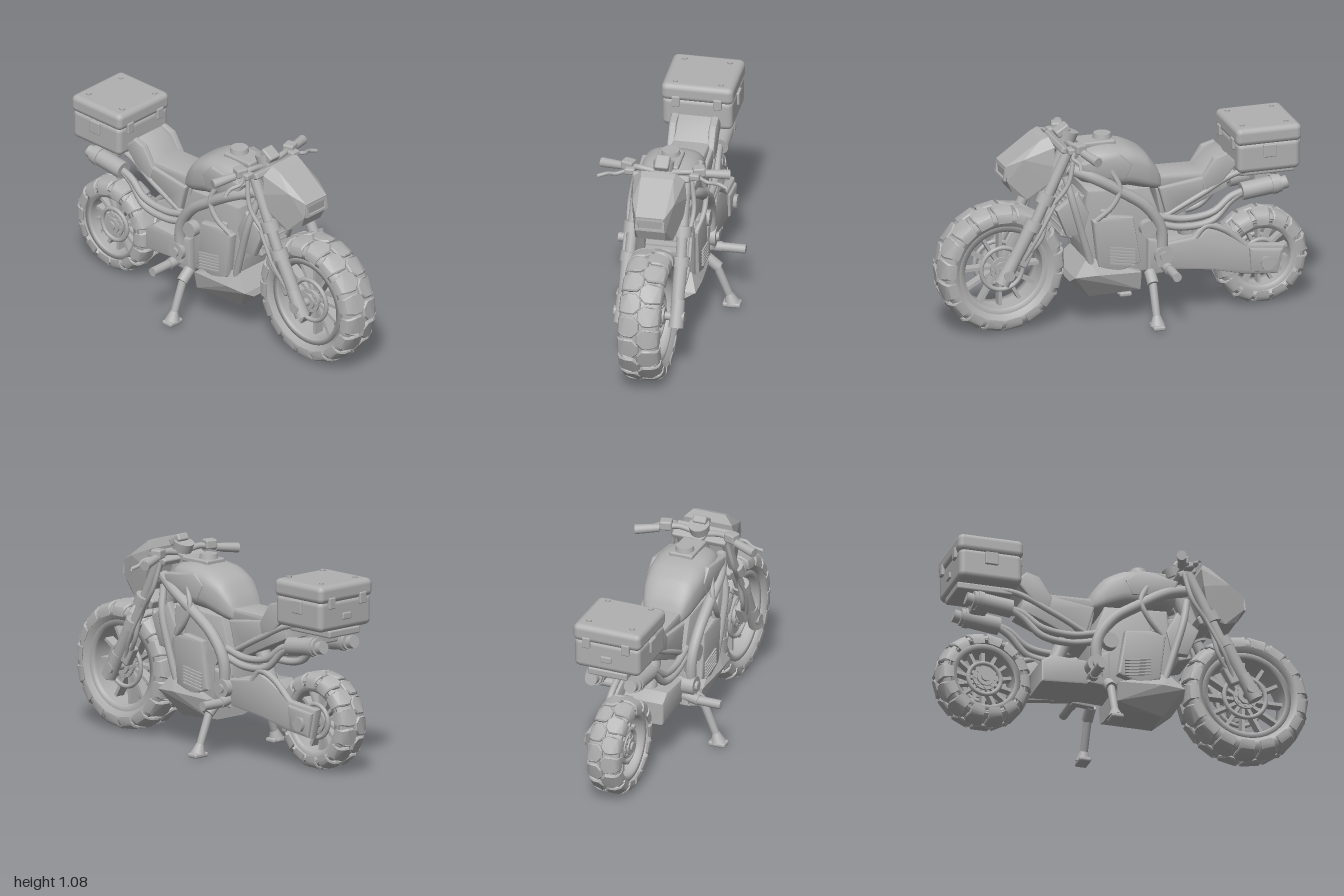
import * as THREE from 'three';
import { toCreasedNormals } from 'three/addons/utils/BufferGeometryUtils.js';
import { RoundedBoxGeometry } from 'three/addons/geometries/RoundedBoxGeometry.js';
import { ConvexGeometry } from 'three/addons/geometries/ConvexGeometry.js';

const V = (p) => new THREE.Vector3(...p);

export function createModel() {
  const root = new THREE.Group();
  root.name = 'motorcycle';
  const grey = new THREE.MeshStandardMaterial({ color: 0xb0b0b0, side: THREE.DoubleSide });
  grey.name = 'plain grey';

  const add = (name, geo, pos = [0, 0, 0], rot = [0, 0, 0], parent = root) => {
    const m = new THREE.Mesh(geo, grey);
    m.name = name;
    m.position.set(...pos);
    m.rotation.set(...rot);
    parent.add(m);
    return m;
  };
  const both = (fn) => [1, -1].forEach(fn);
  const box = (w, h, d, r = 0.01) => new RoundedBoxGeometry(w, h, d, 2, r);
  // Cylinder lying along x
  const disc = (r, len, n = 24) => new THREE.CylinderGeometry(r, r, len, n).rotateZ(Math.PI / 2);
  // Cylinder between two points
  const rod = (name, a, b, r0, r1 = r0, n = 16) => {
    const A = V(a), B = V(b), d = B.clone().sub(A);
    const m = add(name, new THREE.CylinderGeometry(r1, r0, d.length(), n));
    m.position.copy(A).add(B).multiplyScalar(0.5);
    m.quaternion.setFromUnitVectors(new THREE.Vector3(0, 1, 0), d.normalize());
    return m;
  };
  const tube = (name, pts, r) =>
    add(name, new THREE.TubeGeometry(new THREE.CatmullRomCurve3(pts.map(V)), 28, r, 10));
  // Bevelled plate with a [z, y] outline, spanning a width in x
  const plate = (name, pts, x, w, bevel = 0.012) => {
    const shape = new THREE.Shape(pts.map(([z, y]) => new THREE.Vector2(z, y)));
    const g = new THREE.ExtrudeGeometry(shape, { depth: w - 2 * bevel, bevelThickness: bevel,
      bevelSize: bevel, bevelOffset: -bevel, bevelSegments: 2 });
    g.translate(0, 0, -w / 2 + bevel).rotateY(-Math.PI / 2);
    return add(name, toCreasedNormals(g, 0.5), [x, 0, 0]);
  };
  // Rounded body lofted along z; sections are [z, bottom, top, half width]
  const loft = (name, secs, power = 0.65, n = 32) => {
    const pos = [], idx = [];
    const curve = new THREE.CatmullRomCurve3(secs.map((s) => V([s[1], s[2], s[3]])));
    const zs = new THREE.CatmullRomCurve3(secs.map((s) => V([s[0], 0, 0])));
    const rows = 24, f = (v) => Math.sign(v) * Math.abs(v) ** power;
    for (let i = 0; i <= rows; i++) {
      const c = curve.getPoint(i / rows), z = zs.getPoint(i / rows).x;
      for (let j = 0; j < n; j++) {
        const a = (j / n) * Math.PI * 2;
        pos.push(c.z * f(Math.cos(a)), (c.x + c.y) / 2 + ((c.y - c.x) / 2) * f(Math.sin(a)), z);
        const k = i * n + j, l = i * n + ((j + 1) % n);
        if (i < rows) idx.push(k, k + n, l, l, k + n, l + n);
      }
    }
    const g = new THREE.BufferGeometry();
    g.setAttribute('position', new THREE.Float32BufferAttribute(pos, 3));
    g.setIndex(idx);
    g.computeVertexNormals();
    return add(name, g);
  };
  const lathe = (pts) => new THREE.LatheGeometry(pts.map(([r, x]) => new THREE.Vector2(r, x)), 64).rotateZ(Math.PI / 2);

  // Wheel with staggered knobbly tread
  const wheel = (name, y, z, R, W, ri, blocks, spokes) => {
    const g = new THREE.Group();
    g.name = name;
    g.position.set(0, y, z);
    root.add(g);
    const b = R - 0.018;
    add('tyre', lathe([[ri, -W * 0.72], [ri + 0.03, -W * 0.92], [b - 0.035, -W * 0.97], [b - 0.006, -W * 0.8], [b, -W * 0.3],
      [b, W * 0.3], [b - 0.006, W * 0.8], [b - 0.035, W * 0.97], [ri + 0.03, W * 0.92], [ri, W * 0.72], [ri, -W * 0.72]]), undefined, undefined, g);
    const step = (Math.PI * 2) / blocks, h = (step * R) / 2 - 0.006;
    const outline = [[-0.06, -h * 0.45], [0.22, -h], [0.6, -h], [0.85, -h * 0.9], [1, -h * 0.8],
      [1, h * 0.8], [0.85, h * 0.9], [0.6, h], [0.22, h], [-0.06, h * 0.45]];
    const block = new THREE.ExtrudeGeometry(new THREE.Shape(outline.map(([u, s]) => new THREE.Vector2(u * W, s))),
      { depth: 0.03, bevelThickness: 0.007, bevelSize: 0.007, bevelOffset: -0.007, bevelSegments: 1 });
    const p = block.attributes.position;
    for (let i = 0; i < p.count; i++) {
      const u = p.getX(i), k = Math.max(0, u / W - 0.35) / 0.65;
      const r = R - 0.037 + p.getZ(i) - 0.036 * k ** 3, a = p.getY(i) / R;
      p.setXYZ(i, u, r * Math.cos(a), -r * Math.sin(a));
    }
    const tread = toCreasedNormals(block, 0.4);
    both((s) => {
      for (let i = 0; i < blocks; i++) {
        const m = add('treadBlock', tread, undefined, undefined, g);
        m.rotation.order = 'XYZ';
        m.rotation.set((i + (s > 0 ? 0 : 0.5)) * step, s > 0 ? 0 : Math.PI, 0);
      }
    });
    const q = ri - 0.025;
    add('rim', lathe([[ri + 0.006, -W * 0.75], [ri + 0.006, W * 0.75], [q, W * 0.75], [q + 0.008, W * 0.5],
      [q, 0], [q + 0.008, -W * 0.5], [q, -W * 0.75], [ri + 0.006, -W * 0.75]]), undefined, undefined, g);
    add('hub', disc(0.045, W * 1.5), undefined, undefined, g);
    both((s) => {
      add('brakeDisc', new THREE.TorusGeometry(ri * 0.48, 0.012, 8, 40).rotateY(Math.PI / 2), [s * W * 0.5, 0, 0], undefined, g);
      add('hubFlange', disc(0.065, 0.012), [s * W * 0.55, 0, 0], undefined, g);
      for (let i = 0; i < 8; i++) {
        const a = (i / 8) * Math.PI * 2;
        add('discBolt', disc(0.01, 0.02, 8), [s * W * 0.56, 0.05 * Math.cos(a), 0.05 * Math.sin(a)], undefined, g);
      }
    });
    for (let i = 0; i < spokes; i++) {
      const spoke = new THREE.BoxGeometry(W * 0.5, q - 0.02, 0.018).translate(0, (q + 0.02) / 2, 0);
      add('spoke', spoke, undefined, [(i / spokes) * Math.PI * 2, 0, 0], g);
    }
  };
  wheel('frontWheel', 0.34, 0.66, 0.34, 0.11, 0.235, 17, 12);
  wheel('rearWheel', 0.255, -0.745, 0.255, 0.092, 0.182, 14, 14);

  // Front forks, clamps, brakes and hoses
  rod('frontAxle', [-0.16, 0.34, 0.66], [0.16, 0.34, 0.66], 0.022);
  both((s) => {
    rod('forkTube', [s * 0.135, 0.55, 0.53], [s * 0.125, 0.98, 0.32], 0.028);
    rod('forkLeg', [s * 0.14, 0.31, 0.675], [s * 0.14, 0.6, 0.52], 0.032, 0.036);
    rod('forkFoot', [s * 0.145, 0.29, 0.69], [s * 0.145, 0.42, 0.62], 0.04, 0.034);
    rod('forkCollar', [s * 0.138, 0.565, 0.53], [s * 0.136, 0.61, 0.508], 0.046);
    rod('forkClamp', [s * 0.133, 0.7, 0.46], [s * 0.132, 0.75, 0.436], 0.047);
    add('axleCap', disc(0.03, 0.03, 8), [s * 0.17, 0.34, 0.66]);
    add('brakeCaliper', box(0.05, 0.11, 0.06), [s * 0.125, 0.42, 0.56], [-0.5, 0, 0]);
    tube('brakeHose', [[s * 0.13, 0.42, 0.55], [s * 0.16, 0.52, 0.48], [s * 0.155, 0.66, 0.44], [s * 0.17, 0.8, 0.34], [s * 0.15, 0.95, 0.3]], 0.012);
    tube('brakeLine', [[s * 0.14, 0.4, 0.57], [s * 0.17, 0.52, 0.51], [s * 0.17, 0.7, 0.41]], 0.01);
  });
  add('lowerYoke', box(0.27, 0.05, 0.1), [0, 0.725, 0.43], [-0.45, 0, 0]);
  add('upperYoke', box(0.3, 0.035, 0.1), [0, 0.965, 0.32], [-0.45, 0, 0]);
  rod('steeringStem', [0, 0.7, 0.4], [0, 0.98, 0.28], 0.04);

  // Headlight
  const head = [];
  both((s) => [[0.09, 1.045, 0.42], [0.135, 1.0, 0.4], [0.145, 0.9, 0.41], [0.135, 0.81, 0.43], [0.105, 0.73, 0.49],
    [0.1, 0.72, 0.54], [0.07, 0.755, 0.61], [0.08, 0.82, 0.64], [0.075, 0.9, 0.65], [0.11, 0.94, 0.56],
    [0.085, 1.03, 0.46]].forEach(([x, y, z]) => head.push(V([s * x, y, z]))));
  add('headlightShell', new ConvexGeometry(head));
  const trap = (P, a, b, h) => [[-a, -h], [a, -h], [b, h], [-b, h]].forEach(([x, y], i) => (i ? P.lineTo(x, y) : P.moveTo(x, y)));
  const bezel = new THREE.Shape(), hole = new THREE.Path();
  trap(bezel, 0.078, 0.073, 0.034);
  trap(hole, 0.06, 0.066, 0.022);
  bezel.holes.push(hole);
  add('headlightBezel', new THREE.ExtrudeGeometry(bezel, { depth: 0.012, bevelEnabled: false }), [0, 0.858, 0.643], [-0.1, 0, 0]);

  // Gauge and handlebars
  add('gauge', new THREE.CylinderGeometry(0.055, 0.05, 0.05, 24), [0, 1.015, 0.29], [-0.3, 0, 0]);
  add('gaugeTop', box(0.075, 0.04, 0.08), [0, 1.045, 0.32], [0.55, 0, 0]);
  both((s) => {
    tube('handlebar', [[s * 0.02, 0.98, 0.3], [s * 0.12, 0.995, 0.3], [s * 0.2, 0.985, 0.275], [s * 0.24, 0.98, 0.265]], 0.016);
    rod('grip', [s * 0.215, 0.98, 0.27], [s * 0.335, 0.965, 0.23], 0.021, 0.026);
    add('switchPod', box(0.065, 0.05, 0.06), [s * 0.185, 1.0, 0.285], [0, s * 0.3, 0]);
    add('fluidReservoir', box(0.055, 0.035, 0.05), [s * 0.17, 0.985, 0.32]);
    tube('lever', [[s * 0.19, 0.975, 0.31], [s * 0.24, 0.965, 0.335], [s * 0.29, 0.95, 0.315], [s * 0.34, 0.935, 0.325]], 0.01);
  });

  // Fuel tank and cap
  loft('fuelTank', [[0.28, 0.81, 0.88, 0.07], [0.23, 0.77, 0.95, 0.135], [0.1, 0.74, 0.965, 0.16], [-0.01, 0.73, 0.95, 0.157],
    [-0.11, 0.7, 0.9, 0.14], [-0.17, 0.69, 0.82, 0.115], [-0.205, 0.69, 0.74, 0.085]]);
  add('tankCap', new THREE.CylinderGeometry(0.045, 0.055, 0.05, 20), [0, 0.98, 0.1]);
  add('tankTopPlate', box(0.13, 0.03, 0.19), [0, 0.965, 0.14]);
  both((s) => plate('tankSidePanel', [[0.27, 0.9], [0.05, 0.93], [-0.02, 0.87], [0.02, 0.79], [0.24, 0.82]], s * 0.135, 0.055));

  // Frame
  both((s) => {
    tube('mainFrameTube', [[s * 0.11, 0.87, 0.32], [s * 0.155, 0.82, 0.2], [s * 0.16, 0.73, 0.05], [s * 0.16, 0.63, -0.09],
      [s * 0.155, 0.5, -0.17], [s * 0.15, 0.3, -0.17]], 0.03);
    tube('downTube', [[s * 0.1, 0.82, 0.33], [s * 0.14, 0.68, 0.3], [s * 0.14, 0.5, 0.25], [s * 0.13, 0.33, 0.2]], 0.02);
    tube('coolantHose', [[s * 0.15, 0.85, 0.1], [s * 0.175, 0.75, 0.06], [s * 0.175, 0.66, 0.1], [s * 0.15, 0.58, 0.18]], 0.014);
    plate('radiatorShroud', [[0.39, 0.65], [0.27, 0.74], [0.21, 0.62], [0.24, 0.5], [0.33, 0.5]], s * 0.11, 0.05);
  });
  add('radiator', box(0.2, 0.24, 0.07), [0, 0.6, 0.29], [-0.3, 0, 0]);
  for (let i = 0; i < 7; i++) add('radiatorFin', new THREE.BoxGeometry(0.18, 0.008, 0.02), [0, 0.51 + i * 0.03, 0.35 - i * 0.008]);

  // Engine block, covers and vents
  plate('engineBlock', [[0.22, 0.74], [-0.12, 0.72], [-0.2, 0.5], [-0.19, 0.27], [0.2, 0.26], [0.25, 0.45]], 0, 0.25);
  both((s) => {
    plate('engineCover', [[0.2, 0.58], [0.12, 0.6], [-0.02, 0.58], [-0.06, 0.33], [0.06, 0.29], [0.17, 0.33]], s * 0.135, 0.06);
    for (let i = 0; i < 6; i++) add('ventSlat', new THREE.BoxGeometry(0.016, 0.008, 0.14), [s * 0.166, 0.335 + i * 0.017, 0.045], [-0.17, 0, 0]);
    add('coverPlug', box(0.02, 0.05, 0.04), [s * 0.15, 0.615, 0.14]);
    add('clutchCover', disc(0.043, 0.07), [s * 0.135, 0.51, -0.1]);
    add('swingPivot', disc(0.05, 0.09), [s * 0.14, 0.36, -0.18]);
    add('pivotBolt', disc(0.026, 0.12, 8), [s * 0.14, 0.36, -0.18]);
    plate('pivotPlate', [[-0.1, 0.45], [-0.2, 0.43], [-0.22, 0.26], [-0.1, 0.25]], s * 0.135, 0.045);
  });

  // Belly pan
  const belly = [];
  both((s) => [[0.17, 0.285, 0.3], [0.13, 0.38, 0.22], [0.18, 0.29, 0.18], [0.17, 0.28, -0.06], [0.15, 0.18, -0.06],
    [0.09, 0.165, -0.06], [0.09, 0.15, 0.2], [0.11, 0.25, 0.31]].forEach(([x, y, z]) => belly.push(V([s * x, y, z]))));
  add('bellyPan', new ConvexGeometry(belly));

  // Foot pegs and stands
  both((s) => {
    rod('footPeg', [s * 0.2, 0.29, -0.2], [s * 0.335, 0.29, -0.2], 0.024);
    rod('pegMount', [s * 0.12, 0.3, -0.19], [s * 0.21, 0.29, -0.2], 0.028);
    rod('standHinge', [s * 0.15, 0.27, -0.11], [s * 0.21, 0.22, -0.11], 0.03);
    rod('standLeg', [s * 0.19, 0.25, -0.11], [s * 0.275, 0.04, -0.11], 0.022, 0.02);
    add('standFoot', box(0.095, 0.025, 0.065), [s * 0.28, 0.015, -0.11]);
    rod('standAnkle', [s * 0.265, 0.07, -0.11], [s * 0.28, 0.02, -0.11], 0.02, 0.04);
  });

  // Seat and tail
  plate('seat', [[-0.16, 0.77], [-0.42, 0.765], [-0.49, 0.83], [-0.54, 0.855], [-0.58, 0.8], [-0.54, 0.71], [-0.18, 0.68]], 0, 0.2, 0.02);
  plate('tailUnderside', [[-0.16, 0.7], [-0.55, 0.72], [-0.56, 0.66], [-0.42, 0.6], [-0.2, 0.5]], 0, 0.17);
  both((s) => {
    plate('sidePanel', [[-0.17, 0.71], [-0.42, 0.745], [-0.42, 0.66], [-0.3, 0.6], [-0.22, 0.53]], s * 0.1, 0.04);
    plate('seatBracket', [[-0.4, 0.73], [-0.47, 0.84], [-0.54, 0.86], [-0.6, 0.8], [-0.5, 0.69], [-0.42, 0.66]], s * 0.105, 0.04);
    tube('seatRail', [[s * 0.11, 0.55, -0.2], [s * 0.115, 0.65, -0.4], [s * 0.1, 0.74, -0.6], [s * 0.08, 0.74, -0.86]], 0.016);
  });

  // Luggage box
  add('luggageBase', box(0.37, 0.165, 0.34, 0.03), [0, 0.84, -0.75]);
  add('luggageLid', box(0.38, 0.095, 0.355, 0.03), [0, 0.955, -0.75]);
  add('luggageRack', box(0.22, 0.04, 0.3), [0, 0.74, -0.76]);
  add('rackBracket', box(0.16, 0.07, 0.09), [0, 0.7, -0.75]);
  both((s) => {
    both((t) => add('lidStud', new THREE.CylinderGeometry(0.014, 0.014, 0.012, 10), [s * 0.12, 1.004, -0.74 + t * 0.12]));
    add('rearLatch', box(0.045, 0.06, 0.02, 0.006), [s * 0.11, 0.91, -0.925]);
    add('frontLatch', box(0.045, 0.06, 0.02, 0.006), [s * 0.11, 0.91, -0.575]);
    add('sideLatch', box(0.02, 0.07, 0.07, 0.006), [s * 0.186, 0.875, -0.75]);
  });
  add('luggageLock', box(0.06, 0.035, 0.02, 0.006), [0, 0.83, -0.92]);

  // Exhausts
  both((s) => {
    for (const d of [0, 0.045])
      tube('exhaustPipe', [[s * 0.12, 0.56 - d, -0.16], [s * 0.125, 0.53 - d, -0.3], [s * 0.125, 0.55 - d, -0.46],
        [s * 0.115, 0.62 - d / 2, -0.56], [s * 0.11, 0.645, -0.64]], 0.019);
    rod('silencer', [s * 0.11, 0.64, -0.62], [s * 0.11, 0.665, -0.83], 0.047);
    rod('silencerBand', [s * 0.11, 0.659, -0.78], [s * 0.11, 0.663, -0.81], 0.052);
    rod('silencerTip', [s * 0.11, 0.66, -0.83], [s * 0.11, 0.668, -0.865], 0.034);
  });

  // Single-sided swingarm
  plate('swingarmBody', [[-0.15, 0.4], [-0.4, 0.41], [-0.46, 0.37], [-0.46, 0.25], [-0.17, 0.27]], 0, 0.24);
  plate('swingarm', [[-0.2, 0.41], [-0.38, 0.43], [-0.42, 0.47], [-0.5, 0.44], [-0.64, 0.36], [-0.85, 0.34], [-0.81, 0.18],
    [-0.62, 0.2], [-0.45, 0.24], [-0.2, 0.27]], 0.125, 0.045);
  plate('axlePlate', [[-0.65, 0.34], [-0.83, 0.32], [-0.8, 0.19], [-0.66, 0.21]], 0.148, 0.03);
  tube('swingarmBrace', [[0.13, 0.42, -0.36], [0.13, 0.48, -0.42], [0.13, 0.45, -0.52], [0.13, 0.35, -0.64]], 0.018);
  rod('rearAxle', [-0.08, 0.255, -0.745], [0.17, 0.255, -0.745], 0.025);
  add('axleNut', disc(0.04, 0.035, 6), [0.165, 0.255, -0.745]);
  rod('shockAbsorber', [0, 0.4, -0.36], [0, 0.65, -0.26], 0.04);

  return root;
}
